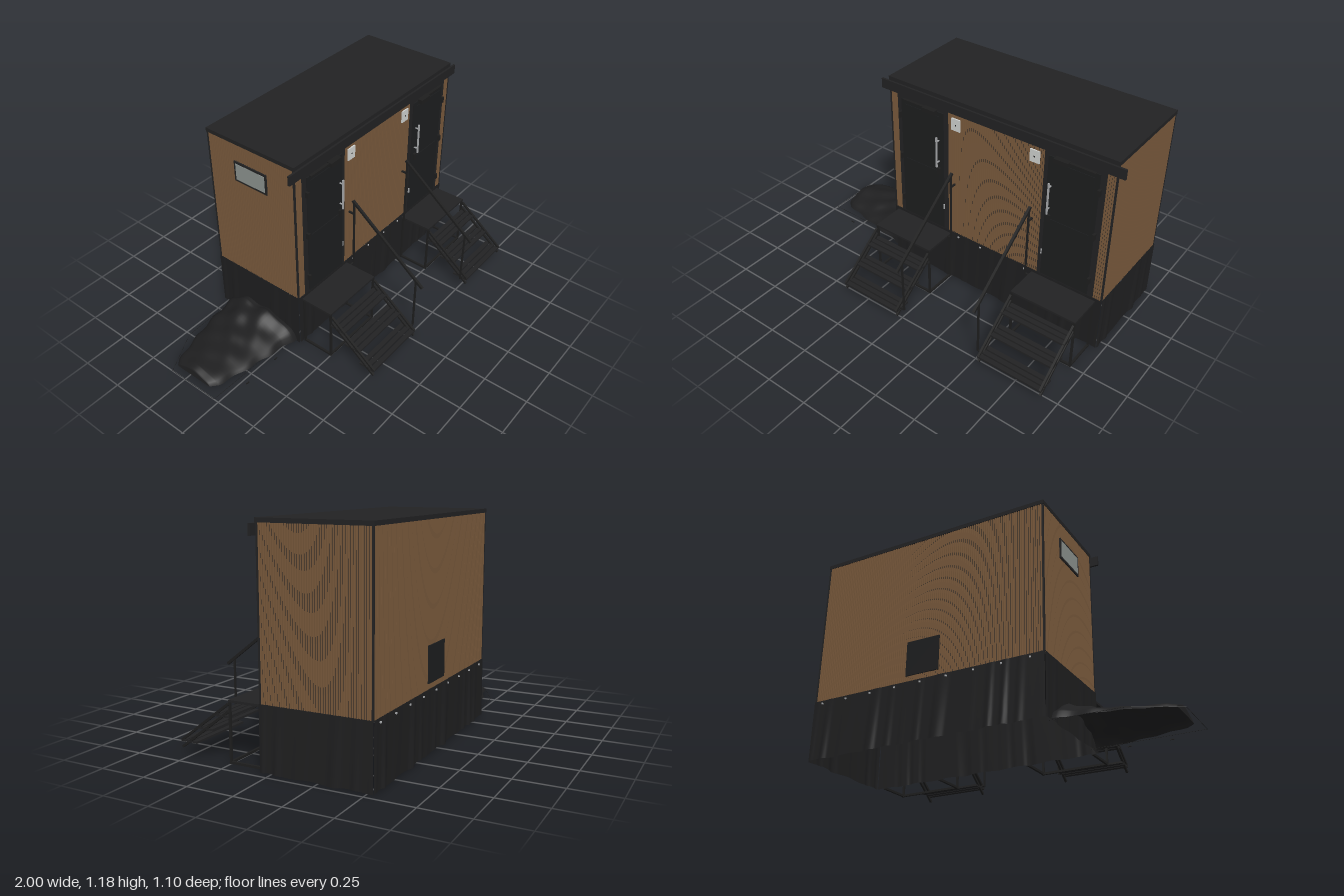
import * as THREE from 'three';
import { mergeGeometries } from 'three/addons/utils/BufferGeometryUtils.js';

const mat = (name, color, side = THREE.FrontSide) => {
  const m = new THREE.MeshStandardMaterial({ color, side });
  m.name = name;
  return m;
};

export function createModel() {
  const root = new THREE.Group();
  root.name = 'cabin';
  const charcoal = mat('charcoal', 0x222223);
  const doorDark = mat('doorDark', 0x1d1e1f);
  const wood = mat('wood', 0x7a5a3c);
  const cloth = mat('cloth', 0x1f1f20, THREE.DoubleSide);
  const steel = mat('steel', 0x1e1e1e);
  const silver = mat('silver', 0xa8aaac);
  const signWhite = mat('signWhite', 0xd0d2d0);
  const glass = mat('glass', 0x8d9390);

  const boxGeo = (x0, x1, y0, y1, z0, z1) =>
    new THREE.BoxGeometry(x1 - x0, y1 - y0, z1 - z0).translate((x0 + x1) / 2, (y0 + y1) / 2, (z0 + z1) / 2);
  const add = (name, geo, material, parent = root) => {
    const m = new THREE.Mesh(geo, material);
    m.name = name;
    parent.add(m);
    return m;
  };
  const box = (name, material, b, parent) => add(name, boxGeo(...b), material, parent);
  // Square bar between two points
  const bar = (p, q, w) => {
    const a = new THREE.Vector3(...p), b = new THREE.Vector3(...q);
    const g = new THREE.BoxGeometry(w, w, a.distanceTo(b));
    const m = new THREE.Matrix4().lookAt(a, b, new THREE.Vector3(1, 0, 0)).setPosition(a.clone().add(b).multiplyScalar(0.5));
    return g.applyMatrix4(m);
  };

  const X0 = -0.41, X1 = 0.96, Z0 = -0.53, Z1 = 0.055, Y0 = 0.33, YT = 1.155, D = 0.007;
  const MID = (X0 + X1) / 2;

  // Body, roof and fascia
  box('wallCore', charcoal, [X0 + D, X1 - D, Y0 - 0.01, YT, Z0 + D, Z1 - D]);
  box('roof', charcoal, [X0 - 0.002, X1 + 0.002, YT, 1.177, Z0 - 0.003, Z1 + 0.003]);
  box('frontFascia', charcoal, [-0.455, 1.0, 1.098, 1.153, Z1, Z1 + 0.012]);
  const posts = [];
  for (const x of [X0, X1 - 0.009]) for (const z of [Z0, Z1 - 0.009]) posts.push(boxGeo(x, x + 0.009, Y0, YT, z, z + 0.009));
  add('cornerPosts', mergeGeometries(posts), charcoal);

  // Vertical wooden slats
  const P = 0.0125, W = 0.0072;
  const runs = (a, b, place) => {
    const n = Math.round((b - a) / P), step = (b - a) / n;
    const parts = [];
    for (let i = 0; i < n; i++) {
      const c = a + (i + 0.5) * step;
      parts.push(place(c - W / 2, c + W / 2));
    }
    return parts;
  };
  const frontSlat = (a, b) => boxGeo(a, b, Y0, 1.1, Z1 - D - 0.001, Z1);
  add('frontSlats', mergeGeometries([
    ...runs(X0 + 0.009, -0.355, frontSlat), ...runs(-0.02, 0.57, frontSlat), ...runs(0.905, X1 - 0.009, frontSlat)]), wood);
  add('backSlats', mergeGeometries(runs(X0 + 0.009, X1 - 0.009, (a, b) => boxGeo(a, b, Y0, YT, Z0, Z0 + D + 0.001))), wood);
  for (const [name, x] of [['leftSlats', X1 - D - 0.001], ['rightSlats', X0]])
    add(name, mergeGeometries(runs(Z0 + 0.009, Z1 - 0.009, (a, b) => boxGeo(x, x + D + 0.001, Y0, YT, a, b))), wood);

  // Doors, built on the -x side and mirrored about the cabin middle
  for (const s of [-1, 1]) {
    const door = new THREE.Group();
    door.name = s < 0 ? 'rightDoor' : 'leftDoor';
    root.add(door);
    const part = (name, m, a, b, ...rest) => {
      const u = MID + s * a, v = MID + s * b;
      return box(name, m, [Math.min(u, v), Math.max(u, v), ...rest], door);
    };
    part('doorFrame', charcoal, 0.295, 0.63, Y0, 1.1, 0.04, 0.058);
    part('doorLeaf', doorDark, 0.32, 0.6, Y0 + 0.01, 1.075, 0.05, 0.064);
    part('upperPanel', doorDark, 0.345, 0.575, 0.74, 1.05, 0.06, 0.067);
    part('lowerPanel', doorDark, 0.345, 0.575, 0.36, 0.71, 0.06, 0.067);
    part('doorCloser', steel, 0.36, 0.44, 1.06, 1.085, 0.06, 0.09);
    part('closerArm', steel, 0.44, 0.58, 1.072, 1.08, 0.06, 0.075);
    for (const y of [0.42, 0.7, 0.96]) part('hinge', steel, 0.598, 0.612, y, y + 0.035, 0.056, 0.078);
    part('pullHandle', silver, 0.342, 0.35, 0.75, 0.935, 0.085, 0.093);
    for (const y of [0.775, 0.905]) part('handleStud', silver, 0.343, 0.349, y, y + 0.006, 0.062, 0.087);
    part('lock', steel, 0.337, 0.356, 0.695, 0.735, 0.06, 0.076);
    part('lever', silver, 0.315, 0.321, 0.47, 0.5, 0.06, 0.068);
    // Sign plates
    part('signPlate', signWhite, 0.212, 0.268, 1.0, 1.07, 0.054, 0.062);
    part('signMark', charcoal, 0.236, 0.244, 1.03, 1.038, 0.061, 0.0628);
  }

  // Rear hatch and side window
  box('rearHatch', doorDark, [0.18, 0.375, 0.36, 0.55, Z0 - 0.006, Z0 + 0.003]);
  box('windowFrame', charcoal, [X0 - 0.006, X0 + 0.004, 0.935, 1.055, -0.345, -0.125]);
  box('windowPane', glass, [X0 - 0.008, X0 - 0.004, 0.947, 1.043, -0.333, -0.137]);

  // Gathered skirt: each side is a sheet whose folds deepen toward the ground
  const skirtSide = (name, ax, az, bx, bz, depth) => {
    const len = Math.hypot(bx - ax, bz - az), nU = Math.round(len * 110), nV = 6;
    const g = new THREE.PlaneGeometry(1, 1, nU, nV), p = g.attributes.position;
    const tx = (bx - ax) / len, tz = (bz - az) / len;
    for (let i = 0; i < p.count; i++) {
      const u = p.getX(i) + 0.5, v = 0.5 - p.getY(i), d = u * len;
      const fold = Math.max(0, Math.sin(d * 55 + 2.2 * Math.sin(d * 11) + v)) * (0.55 + 0.45 * Math.sin(d * 17 + 1));
      const ends = Math.min(1, u * 25, (1 - u) * 25);
      const o = 0.003 + depth * fold * ends * (0.25 + 0.75 * v);
      p.setXYZ(i, ax + tx * d - tz * o, Y0 * (1 - v) + 0.003 * v * (1 + Math.sin(d * 30)), az + tz * d + tx * o);
    }
    g.computeVertexNormals();
    add(name, g, cloth);
  };
  skirtSide('frontSkirt', X0, Z1, X1, Z1, 0.006);
  skirtSide('leftSkirt', X1, Z1, X1, Z0, 0.01);
  skirtSide('backSkirt', X1, Z0, X0, Z0, 0.013);
  skirtSide('rightSkirt', X0, Z0, X0, Z1, 0.006);

  // Skirt studs
  const studs = [];
  for (const x of [0.05, 0.2, 0.35, 0.49]) studs.push(boxGeo(x, x + 0.008, 0.308, 0.316, Z1 + 0.002, Z1 + 0.008));
  for (let i = 0; i < 9; i++) studs.push(boxGeo(-0.34 + i * 0.155, -0.332 + i * 0.155, 0.308, 0.316, Z0 - 0.011, Z0 - 0.003));
  add('skirtStuds', mergeGeometries(studs), silver);

  // Stairs with landing, frame, stringers, slatted treads and one handrail
  for (const [name, x0, x1, rx] of [['rightStairs', -0.385, 0, 0.025], ['leftStairs', 0.54, 0.925, 0.52]]) {
    const stairs = new THREE.Group();
    stairs.name = name;
    root.add(stairs);
    box('landing', charcoal, [x0, x1, 0.304, 0.316, 0.06, 0.255], stairs);
    const frame = [], treads = [];
    for (const x of [x0 + 0.006, x1 - 0.006]) {
      frame.push(bar([x, 0, 0.25], [x, 0.31, 0.25], 0.011), bar([x, 0, 0.068], [x, 0.31, 0.068], 0.011),
        bar([x, 0.008, 0.065], [x, 0.008, 0.255], 0.012),
        bar([x, 0.295, 0.258], [x, 0.077, 0.543], 0.012), bar([x, 0.258, 0.258], [x, 0.042, 0.54], 0.012));
    }
    frame.push(boxGeo(x0, x1, 0.002, 0.014, 0.244, 0.256));
    add('stairFrame', mergeGeometries(frame), steel, stairs);
    for (let i = 0; i < 3; i++) for (let k = 0; k < 3; k++) {
      const z = 0.252 + i * 0.0985 + k * 0.0345, y = 0.226 - i * 0.078;
      treads.push(boxGeo(x0, x1, y, y + 0.011, z, z + 0.0265));
    }
    add('treads', mergeGeometries(treads), charcoal, stairs);
    const side = rx < 0.27 ? x1 : x0;
    add('handrail', mergeGeometries([
      bar([rx, 0.745, 0.08], [rx, 0.378, 0.553], 0.014),
      bar([rx, 0.31, 0.09], [rx, 0.74, 0.09], 0.009), bar([rx, 0.08, 0.51], [rx, 0.41, 0.51], 0.009),
      bar([rx, 0.315, 0.09], [side, 0.31, 0.09], 0.009), bar([rx, 0.085, 0.51], [side, 0.08, 0.51], 0.009),
      bar([rx, 0.66, 0.09], [rx, 0.66, 0.055], 0.009)]), steel, stairs);
  }

  // Draped mound beside the cabin: sections of [x, zBack, zFront, height]
  const sec = [[-0.962, -0.34, -0.11, 0.012], [-0.958, -0.35, -0.1, 0.055], [-0.92, -0.372, -0.075, 0.066],
    [-0.8, -0.41, -0.045, 0.068], [-0.7, -0.435, -0.025, 0.076], [-0.6, -0.455, -0.005, 0.092],
    [-0.5, -0.465, 0.01, 0.128], [-0.44, -0.472, 0.025, 0.152], [-0.405, -0.475, 0.03, 0.14]];
  const nU = 48, nV = 32, pos = [], idx = [];
  for (let i = 0; i <= nU; i++) {
    const f = (i / nU) * (sec.length - 1), k = Math.min(sec.length - 2, Math.floor(f));
    const [x, zb, zf, h] = sec[k].map((v, c) => THREE.MathUtils.lerp(v, sec[k + 1][c], f - k));
    for (let j = 0; j <= nV; j++) {
      const t = j / nV, z = zb + (zf - zb) * t;
      const wrinkle = 0.88 + 0.08 * Math.sin(z * 38 + x * 14 + 2 * Math.sin(x * 9)) + 0.05 * Math.sin(x * 43 - z * 19);
      const arch = Math.pow(Math.max(0, Math.sin(Math.PI * t)), 0.55);
      pos.push(x, 0.01 + (h - 0.01) * arch * wrinkle, z + 0.006 * Math.sin(x * 40) * (2 * t - 1));
      if (i < nU && j < nV) {
        const a = i * (nV + 1) + j, b = a + nV + 1;
        idx.push(a, a + 1, b, a + 1, b + 1, b);
      }
    }
  }
  const mound = new THREE.BufferGeometry();
  mound.setAttribute('position', new THREE.Float32BufferAttribute(pos, 3));
  mound.setIndex(idx);
  mound.computeVertexNormals();
  add('drapedCover', mound, cloth);

  // Thin ground cord around the cover, and pegs
  const cord = [[-0.4, -0.48], [-0.76, -0.47], [-1, -0.345], [-1, -0.03], [-0.4, -0.02]];
  add('groundCord', mergeGeometries(cord.slice(1).map(([x, z], i) =>
    bar([cord[i][0], 0.003, cord[i][1]], [x, 0.003, z], 0.0015))), steel);
  for (const x of [-0.82, -0.6]) box('peg', steel, [x, x + 0.02, 0.001, 0.006, 0.028, 0.034]);

  return root;
}
